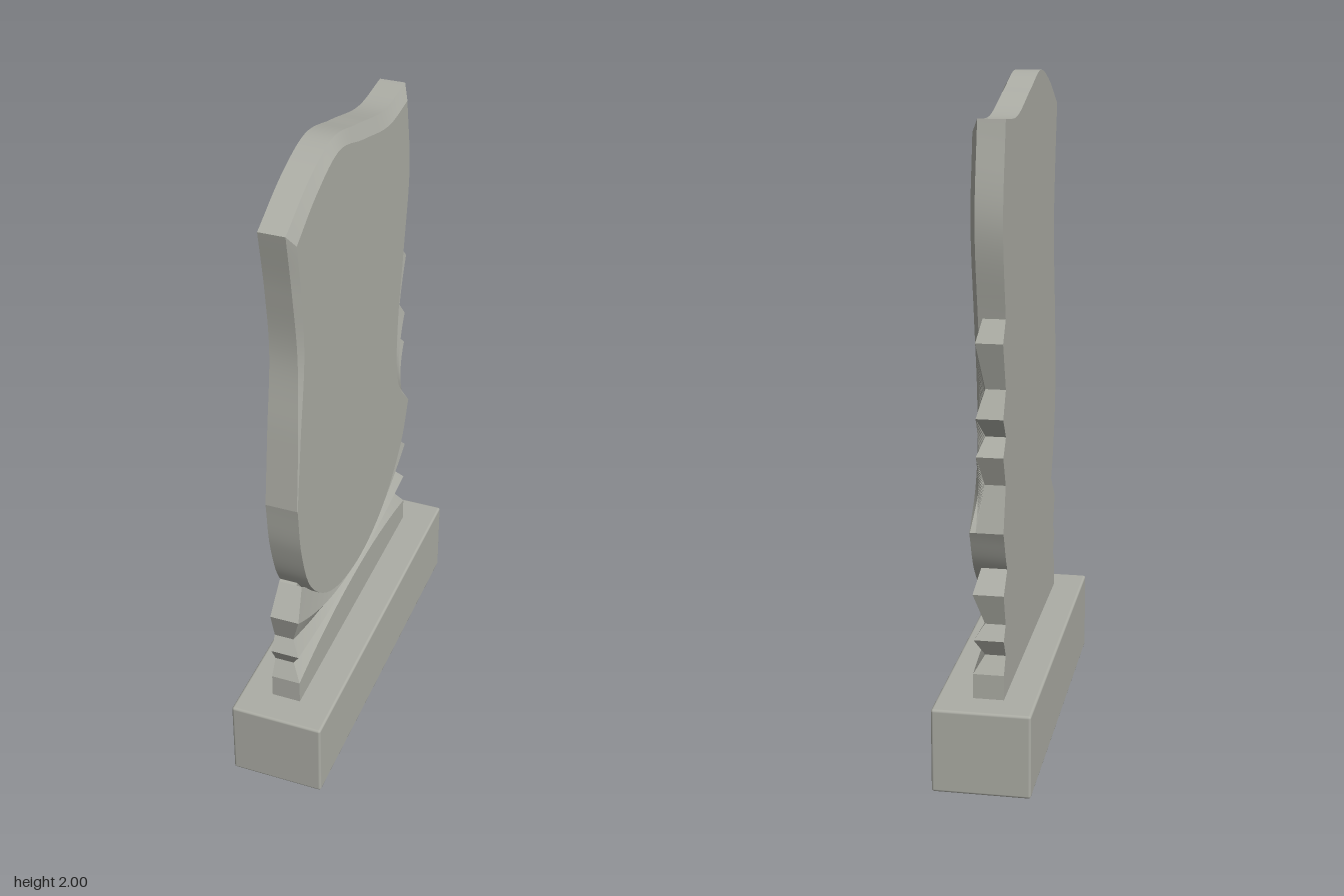
import * as THREE from 'three';
import { toCreasedNormals } from 'three/addons/utils/BufferGeometryUtils.js';
import { RoundedBoxGeometry } from 'three/addons/geometries/RoundedBoxGeometry.js';

// Local frame: x runs across the stone, y up, z out of its carved face.
const BACK = -0.05, FRONT = 0.048, PLATE = 0.005;
const V = (x, y, z) => new THREE.Vector3(x, y, z);
const atDepth = (pts, z) => pts.map(p => V(p.x, p.y, z));

// Ribbon of quads between two point lists of equal length
function strip(a, b) {
  const pos = [], index = [];
  a.forEach((p, i) => {
    pos.push(...p.toArray(), ...b[i].toArray());
    if (i) {
      const k = 2 * i;
      index.push(k - 2, k, k + 1, k - 2, k + 1, k - 1);
    }
  });
  const g = new THREE.BufferGeometry();
  g.setAttribute('position', new THREE.Float32BufferAttribute(pos, 3));
  g.setIndex(index);
  return toCreasedNormals(g, 0.45);
}

export function createModel() {
  const model = new THREE.Group();
  const stone = new THREE.MeshStandardMaterial({ color: 0xacada5, side: THREE.DoubleSide });
  stone.name = 'grey stone';

  const carving = new THREE.Group();
  carving.name = 'headstone';
  carving.rotation.y = Math.PI / 2;
  model.add(carving);

  const add = (name, geometry, parent = carving) => {
    const mesh = new THREE.Mesh(geometry, stone);
    mesh.name = name;
    parent.add(mesh);
  };

  // Plinth
  const plinth = new RoundedBoxGeometry(0.29, 0.255, 1.17, 2, 0.008);
  plinth.translate(0, 0.1275, 0);
  add('plinth', plinth, model);

  // Slab edges, clockwise from top left: outer x, y, inner x, y, edge depth
  const edges = {
    top: [
      [-0.49, 1.876, -0.465, 1.84, 0.028], [-0.32, 1.96, -0.32, 1.92, 0.028],
      [-0.155, 2.0, -0.16, 1.967, 0.028], [0.035, 1.956, 0.03, 1.915, 0.028],
      [0.26, 1.9, 0.25, 1.86, 0.028], [0.44, 1.908, 0.405, 1.868, 0.028]],
    right: [
      [0.44, 1.908, 0.405, 1.868, 0.028], [0.485, 1.63, 0.44, 1.63, 0.028],
      [0.445, 1.365, 0.4, 1.365, 0.028], [0.405, 1.17, 0.362, 1.15, 0.028],
      [0.395, 1.0, 0.357, 0.98, 0.028], [0.42, 0.86, 0.39, 0.865, 0.034],
      [0.487, 0.758, 0.485, 0.758, 0.046]],
    bottom: [
      [0.487, 0.758], [0.42, 0.625], [0.25, 0.49], [0.02, 0.44], [-0.23, 0.5],
      [-0.4, 0.65], [-0.47, 0.83], [-0.493, 1.0]],
    left: [
      [-0.493, 1.0, -0.492, 1.0, 0.046], [-0.465, 1.235, -0.46, 1.235, 0.042],
      [-0.435, 1.48, -0.425, 1.48, 0.032], [-0.455, 1.685, -0.438, 1.67, 0.028],
      [-0.49, 1.876, -0.465, 1.84, 0.028]],
  };
  const outline = [], faceLine = [];
  for (const [side, knots] of Object.entries(edges)) {
    const outer = new THREE.CatmullRomCurve3(
      knots.map(([x, y, , , z = FRONT]) => V(x, y, z))).getPoints(48);
    const inner = new THREE.CatmullRomCurve3(
      knots.map(([x, y, ix = x, iy = y]) => V(ix, iy, FRONT))).getPoints(48);
    add(side + 'Edge', strip(outer, atDepth(outer, BACK)));
    if (side !== 'bottom') add(side + 'Bevel', strip(inner, outer));
    outline.push(...outer.slice(0, -1));
    faceLine.push(...inner.slice(0, -1));
  }
  const flat = pts => new THREE.ShapeGeometry(
    new THREE.Shape(pts.map(p => new THREE.Vector2(p.x, p.y))));
  add('slabFace', flat(faceLine).translate(0, 0, FRONT));
  add('slabBack', flat(outline).rotateY(Math.PI).scale(-1, 1, 1).translate(0, 0, BACK));

  // Pleated foot rows, bottom to top: end x, end y, middle y, end depth, middle depth
  const footRows = [
    [0.485, 0.25, 0.25, 0.04, 0.04], [0.485, 0.33, 0.385, 0.04, 0.04],
    [0.455, 0.38, 0.397, 0.01, 0.024], [0.485, 0.434, 0.407, 0.038, 0.04],
    [0.455, 0.475, 0.418, 0.01, 0.024], [0.485, 0.572, 0.432, 0.04, 0.042],
    [0.41, 0.65, 0.47, 0.022, 0.03]];
  const foot = footRows.map(([x, ye, ym, ze, zm]) =>
    Array.from({ length: 41 }, (_, i) => {
      const t = i / 20 - 1, k = t * t;
      return V(x * t, ym + (ye - ym) * k, zm + (ze - zm) * k);
    }));
  // Pleats fanning along the right edge: start x, y, depth, bend x, bend y
  const fanRows = [
    [0.445, 1.365, 0.015, 0.32, 1.02], [0.487, 1.304, 0.028, 0.345, 1.0],
    [0.445, 1.166, 0.008, 0.365, 0.96], [0.487, 1.09, 0.028, 0.39, 0.94],
    [0.445, 1.03, 0.008, 0.405, 0.91], [0.487, 0.98, 0.028, 0.425, 0.88],
    [0.45, 0.89, 0.01, 0.455, 0.82]];
  const fan = fanRows.map(([x, y, z, bx, by]) => new THREE.QuadraticBezierCurve3(
    V(x, y, z), V(bx, by, z), V(0.487, 0.758, 0.03)).getPoints(20));

  const pleats = (name, rows) => {
    for (let i = 1; i < rows.length; i++) add(name, strip(rows[i - 1], rows[i]));
  };
  const skirt = (name, pts) => add(name, strip(pts, atDepth(pts, 0)));
  pleats('footPleat', foot);
  pleats('sidePleat', fan);
  const footLeft = foot.map(r => r[0]);
  const footRight = foot.map(r => r[40]).reverse();
  const fanTips = [...fan.map(r => r[0]), fan[0][20]];
  skirt('footEdge', footLeft);
  skirt('footEdge', footRight);
  skirt('sideEdge', fanTips);

  // Backing plate with the same notched silhouette
  const plateLine = [
    ...footLeft, V(-0.3, 0.72), V(0.3, 0.8), V(0.3, 1.33), ...fanTips, ...footRight];
  const plate = new THREE.ExtrudeGeometry(
    new THREE.Shape(plateLine.map(p => new THREE.Vector2(p.x, p.y))),
    { depth: PLATE - BACK, bevelEnabled: false });
  add('backPlate', plate.translate(0, 0, BACK));

  return model;
}
